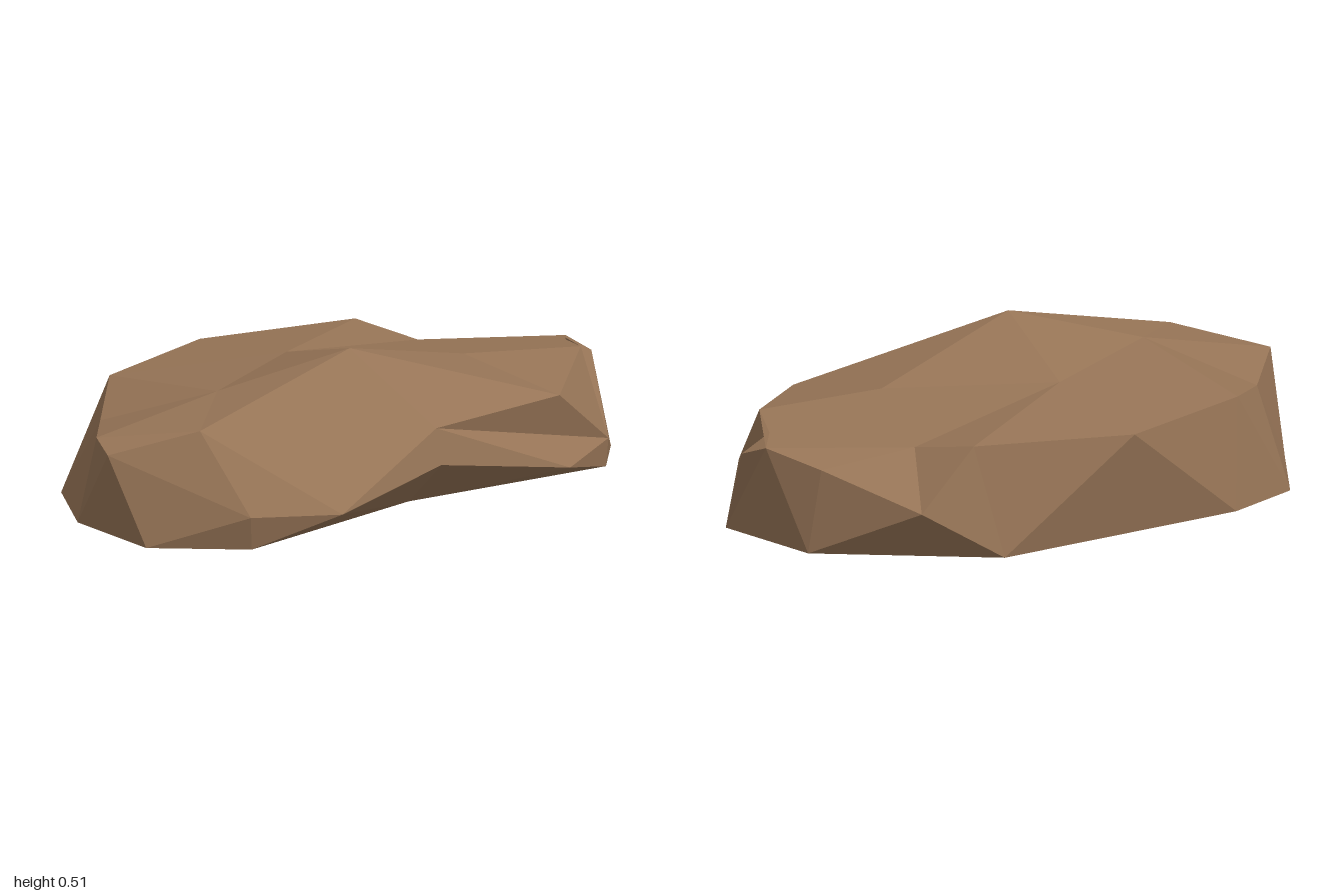
import * as THREE from 'three';

const points = (prefix, list) => Object.fromEntries(list.map((p, i) => [prefix + i, new THREE.Vector3(...p)]));

// Lower rim, walked round from the +x side past the back to the arched front; r13 is the lip below the arch
const rim = points('r', [
  [0.97, 0, 0.21], [0.92, 0, -0.17], [0.70, 0.165, -0.48], [0.44, 0, -0.565], [-0.45, 0, -0.565],
  [-0.72, 0, -0.475], [-0.92, 0, -0.16], [-0.96, 0, 0.22], [-0.72, 0, 0.45], [-0.48, 0.105, 0.61],
  [-0.02, 0.175, 0.55], [0.44, 0.105, 0.635], [0.72, 0.03, 0.48], [0.04, 0, 0.32],
]);
// Shoulder where the sides turn into the crown, same direction
const shoulder = points('u', [
  [1, 0.28, 0.08], [0.97, 0.315, -0.01], [0.89, 0.275, -0.2], [0.5, 0.355, -0.48], [-0.01, 0.345, -0.635],
  [-0.515, 0.345, -0.48], [-0.75, 0.285, -0.25], [-0.97, 0.315, -0.01], [-1, 0.28, 0.08], [-0.78, 0.36, 0.27],
]);
// Crown: peak, saddle, ridges and the notch at the back
const crown = points('k', [
  [-0.14, 0.515, 0.245], [-0.53, 0.405, 0.06], [-0.04, 0.4, -0.18], [0.42, 0.38, 0.14],
  [0.58, 0.315, -0.27], [0.82, 0.355, 0.24], [0.9, 0.335, 0.07],
]);
// Front face corners
const front = points('f', [[-0.02, 0.29, 0.525], [0.49, 0.31, 0.525], [0.73, 0.12, 0.48], [-0.74, 0.11, 0.47]]);

const P = { ...rim, ...shoulder, ...crown, ...front };

// Each line is a fan: its hub, then the corners around it. Facets are turned to face the given way.
function facets(fans, facing) {
  const pos = [];
  for (const fan of fans) {
    const [hub, ...ring] = fan.split(' ').map((n) => P[n]);
    for (let i = 0; i + 1 < ring.length; i++) {
      const tri = new THREE.Triangle(hub, ring[i], ring[i + 1]);
      const mid = tri.getMidpoint(new THREE.Vector3());
      const out = tri.getNormal(new THREE.Vector3()).dot(facing(mid)) > 0;
      for (const p of out ? [tri.a, tri.b, tri.c] : [tri.a, tri.c, tri.b]) pos.push(p.x, p.y, p.z);
    }
  }
  const g = new THREE.BufferGeometry();
  g.setAttribute('position', new THREE.Float32BufferAttribute(pos, 3));
  g.computeVertexNormals();
  return g;
}

export function createModel() {
  // The rock is an open shell, so its inside shows from below
  const stone = new THREE.MeshStandardMaterial({
    name: 'brownStone', color: 0x967456, flatShading: true, side: THREE.DoubleSide,
  });
  const group = new THREE.Group();
  group.name = 'rock';

  const up = () => new THREE.Vector3(0, 1, 0);
  const down = () => new THREE.Vector3(0, -1, 0);
  const outward = (m) => new THREE.Vector3(m.x, (m.y - 0.1) * 0.5, m.z * 1.6);

  const add = (name, fans, facing) => {
    const mesh = new THREE.Mesh(facets(fans, facing), stone);
    mesh.name = name;
    group.add(mesh);
  };

  add('crown', [
    'k1 u9 u7 u6 u5 k2 k0 u9',
    'k2 u5 u4 u3 k4 k3 k0',
    'k3 k0 f1 k5 k4',
    'k4 u3 r2 u2 u1 k5',
    'u9 u8 u7',
    'u1 k5 k6 u0',
  ], up);

  add('frontFace', [
    'f0 u9 k0 f1 f2 r11 r10 r9 u9',
    'u9 r9 f3 u8',
    'f2 f1 k5 k6 u0 r0 r12 r11',
    'f3 u8 r7 r8 r9',
  ], outward);

  add('sidesAndBack', [
    'u8 u7 r6 r7',
    'r6 u7 u6 r5',
    'u5 u6 r5 r4 u4',
    'r3 r4 u4 u3 r2 r1',
    'r1 r2 u2 u1 r0',
    'u1 r0 u0',
  ], outward);

  // Undercut below the front arch
  add('frontUndercut', ['r13 r8 r9 r10 r11 r12 r0'], down);

  return group;
}
